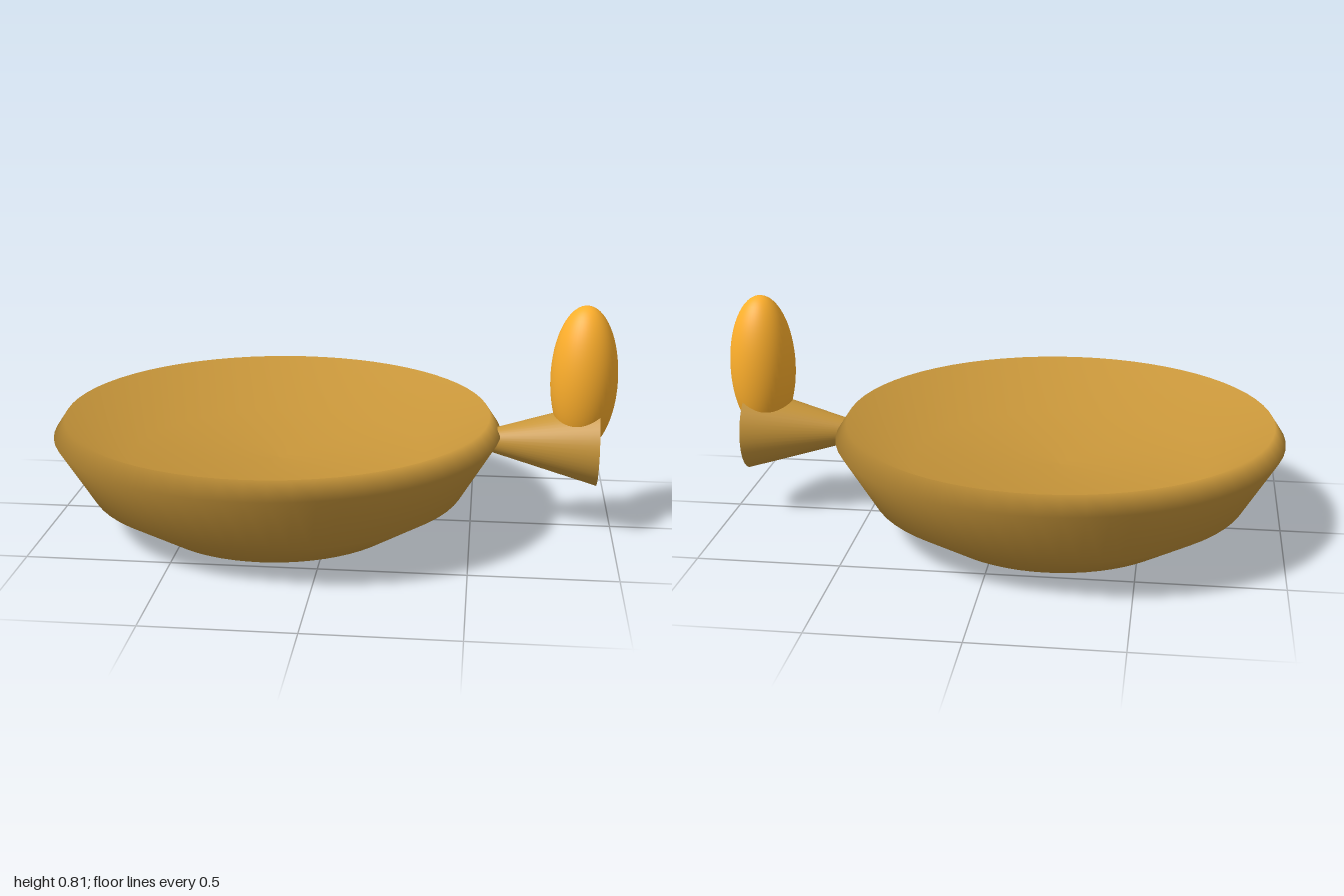
import * as THREE from 'three';

export function createModel() {
  const model = new THREE.Group();
  const bronze = new THREE.MeshStandardMaterial({ color: 0xc8963a });
  const orange = new THREE.MeshStandardMaterial({ color: 0xffb02c });

  const add = (name, geometry, material, x, y) => {
    const mesh = new THREE.Mesh(geometry, material);
    mesh.name = name;
    mesh.position.set(x, y, 0);
    model.add(mesh);
    return mesh;
  };

  // Dish: underside, two flared walls, bevelled rim and hollow with a nearly flat floor
  const profile = [
    [0, 0], [0.464, 0], [0.673, 0.13], [0.8, 0.34], [0.76, 0.4],
    [0.53, 0.24], [0, 0.22],
  ].map(([r, y]) => new THREE.Vector2(r, y));
  add('dish', new THREE.LatheGeometry(profile, 64), bronze, -0.2, 0);

  // Handle: cone that widens away from the dish
  const handle = add('handle', new THREE.CylinderGeometry(0.15, 0.04, 0.38, 48), bronze, 0.75, 0.312);
  handle.rotation.z = -Math.PI / 2;

  // Flame: tall ellipsoid sunk into the end of the handle
  const flame = add('flame', new THREE.SphereGeometry(1, 48, 32), orange, 0.883, 0.55);
  flame.scale.set(0.117, 0.26, 0.117);

  return model;
}
